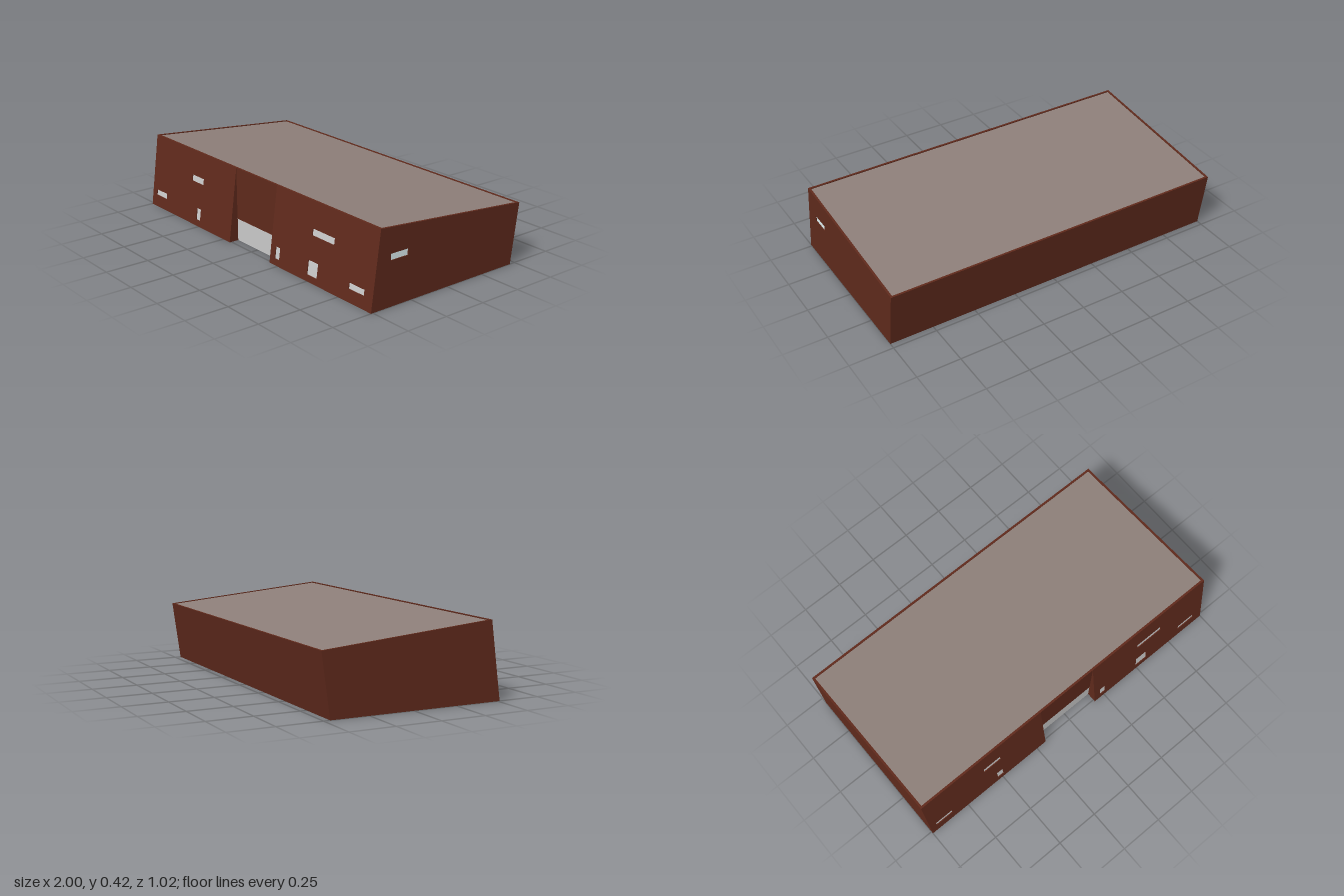
import * as THREE from 'three';

const T = 0.012;          // wall thickness
const H = 0.424;          // front wall height
const HB = 0.338;         // back wall height
const LEAN = 0.057 / H;   // front wall leans back
const LEAN_BACK = 0.047 / HB;
const NOTCH = [-0.188, 0.182]; // recessed entrance, x range

const mat = (color) => new THREE.MeshStandardMaterial({ color, flatShading: true });

// polygon with rectangular holes [x0, x1, y0, y1]
function outline(points, holes = []) {
  const shape = new THREE.Shape(points.map((p) => new THREE.Vector2(...p)));
  for (const [a, b, c, d] of holes) {
    shape.holes.push(new THREE.Path([[a, c], [a, d], [b, d], [b, c]].map((p) => new THREE.Vector2(...p))));
  }
  return shape;
}
const rect = (a, b, c, d) => [[a, c], [b, c], [b, d], [a, d]];
const extrude = (shape, depth) => new THREE.ExtrudeGeometry(shape, { depth, bevelEnabled: false });

// slab in the x-y plane whose front face passes z at y = 0 and leans back by lean
function leaning(shape, z, lean, depth = T) {
  const shear = new THREE.Matrix4().set(1, 0, 0, 0, 0, 1, 0, 0, 0, -lean, 1, z - depth, 0, 0, 0, 1);
  return extrude(shape, depth).applyMatrix4(shear);
}

// slab drawn in the z-y plane, reaching from xMax towards -x
function sideways(shape, xMax, depth = T) {
  return extrude(shape, depth).rotateY(-Math.PI / 2).translate(xMax, 0, 0);
}

export function createModel() {
  const group = new THREE.Group();
  const brick = mat(0x602a1c);
  const grey = mat(0xcccccc);
  const glass = mat(0xe4f6f8);
  const roofMat = mat(0x8f807a);
  const add = (name, geometry, material) => {
    const mesh = new THREE.Mesh(geometry, material);
    mesh.name = name;
    group.add(mesh);
  };

  // front wings with openings and recessed panes
  const wings = [
    ['rightFrontWall', -1 + T, NOTCH[0],
      [[-0.96, -0.85, 0.067, 0.1], [-0.6, -0.485, 0.246, 0.283], [-0.53, -0.49, 0.035, 0.103]]],
    ['leftFrontWall', NOTCH[1], 1 - T,
      [[0.222, 0.26, 0.035, 0.103], [0.495, 0.575, 0.035, 0.115],
        [0.505, 0.68, 0.246, 0.283], [0.82, 0.935, 0.067, 0.1]]],
  ];
  for (const [name, x0, x1, holes] of wings) {
    add(name, leaning(outline(rect(x0, x1, 0, H), holes), 0.512, LEAN), brick);
    for (const h of holes) {
      add('frontWindow', leaning(outline(rect(...h)), 0.512 - T * 0.4, LEAN, T * 0.4), grey);
    }
  }

  // upright entrance recess with its door and wedge-shaped reveals
  add('entranceWall', leaning(outline(rect(...NOTCH, 0.128, H)), 0.455, 0), brick);
  add('entranceDoor', leaning(outline(rect(...NOTCH, 0, 0.128)), 0.454, 0), grey);
  const reveal = outline([[0.443, 0], [0.512, 0], [0.455, H], [0.443, H]]);
  add('entranceReveal', sideways(reveal, NOTCH[0] + 0.0005), brick);
  add('entranceReveal', sideways(reveal, NOTCH[1] + T - 0.0005), brick);

  // side walls, one of them with a window
  const profile = [[0.512, 0], [0.455, H], [-0.512, HB], [-0.465, 0]];
  const sideHole = [0.275, 0.388, 0.245, 0.28];
  add('leftWall', sideways(outline(profile, [sideHole]), 1), brick);
  add('rightWall', sideways(outline(profile), -1 + T), brick);
  add('sideWindow', sideways(outline(rect(...sideHole)), 1 - T * 0.4, T * 0.4), glass);

  // overhanging back wall
  add('backWall', leaning(outline(rect(-1 + T, 1 - T, 0, HB)), -0.465 + T, LEAN_BACK), brick);

  // sloping roof set just below the wall tops
  const roof = outline([[0.445, 0.419], [-0.5, 0.335], [-0.5, 0.325], [0.445, 0.409]]);
  add('roof', sideways(roof, 1 - T, 2 - 2 * T), roofMat);

  return group;
}
